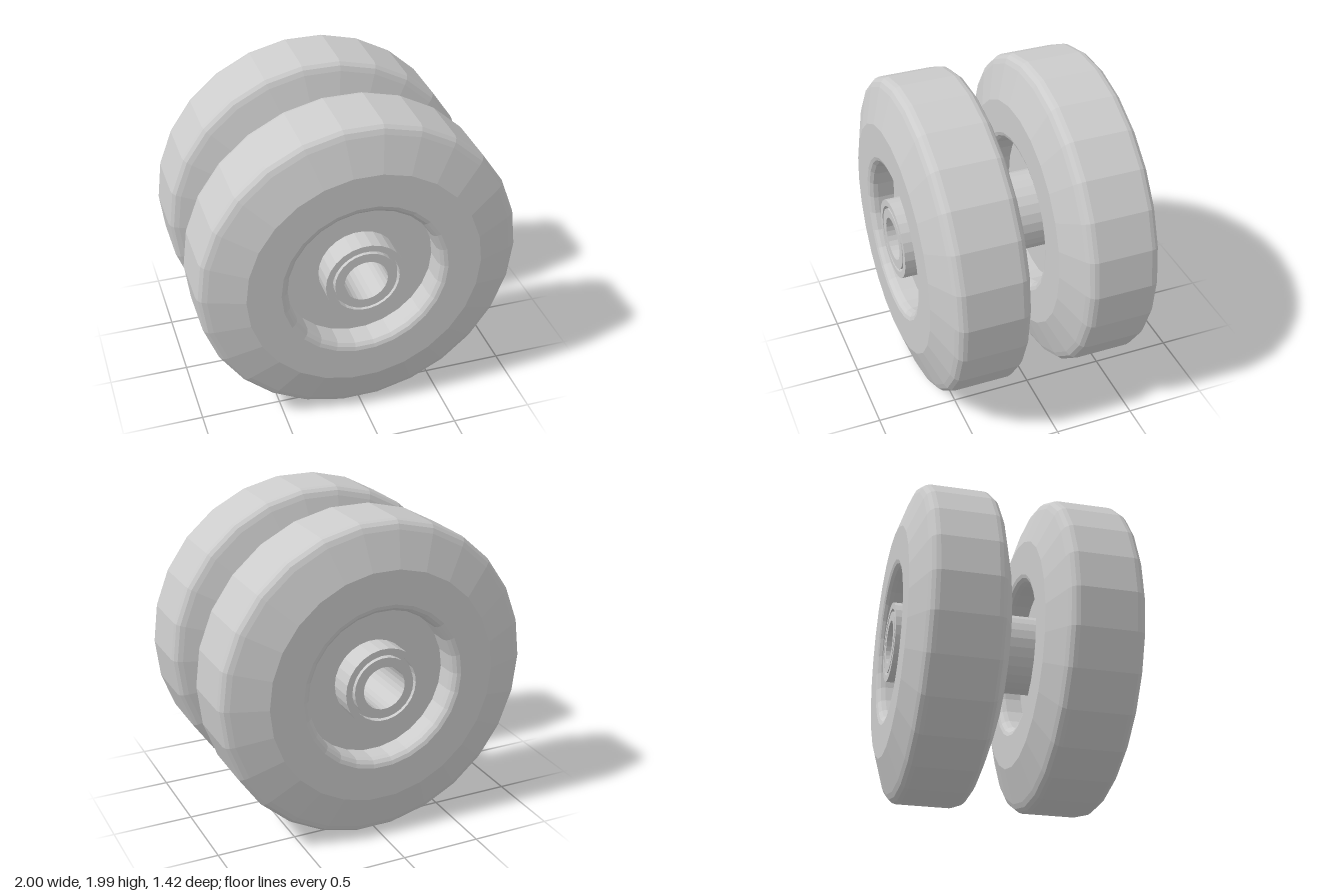
import * as THREE from 'three';

const SIDES = 26;
const CENTRE_Y = 0.997;
const material = new THREE.MeshStandardMaterial({ color: 0xcccccc, flatShading: true });

// Turn half a cross-section [radius, offset along axle], listed from the
// outside inward, into a mirrored solid of revolution lying along z.
function turned(name, half, closed = false) {
  const lower = half.map(([r, z]) => [r, -z]).reverse();
  const profile = [...lower, ...half];
  if (closed) profile.push(lower[0]);
  const points = profile.map(([r, z]) => new THREE.Vector2(r, z));
  const geometry = new THREE.LatheGeometry(points, SIDES, Math.PI / 2);
  geometry.rotateX(Math.PI / 2);
  const mesh = new THREE.Mesh(geometry, material);
  mesh.name = name;
  mesh.position.y = CENTRE_Y;
  return mesh;
}

export function createModel() {
  const model = new THREE.Group();
  model.name = 'twinWheels';

  // Tyre with rounded shoulders, sloped sidewalls and a recessed disc
  const wheelHalf = [
    [1, 0.17], [0.993, 0.195], [0.975, 0.217], [0.945, 0.232],
    [0.73, 0.305], [0.52, 0.305], [0.497, 0.297], [0.478, 0.278], [0.47, 0.25],
    [0.47, 0.145], [0.24, 0.145],
  ];
  for (const [name, z] of [['frontWheel', 0.405], ['backWheel', -0.405]]) {
    const wheel = turned(name, wheelHalf);
    wheel.position.z = z;
    model.add(wheel);
  }

  // Hollow axle with a narrow groove around the bore at each end
  model.add(turned('axle', [
    [0.25, 0.705], [0.21, 0.705], [0.21, 0.66], [0.193, 0.66],
    [0.193, 0.705], [0.135, 0.705],
  ], true));

  return model;
}
